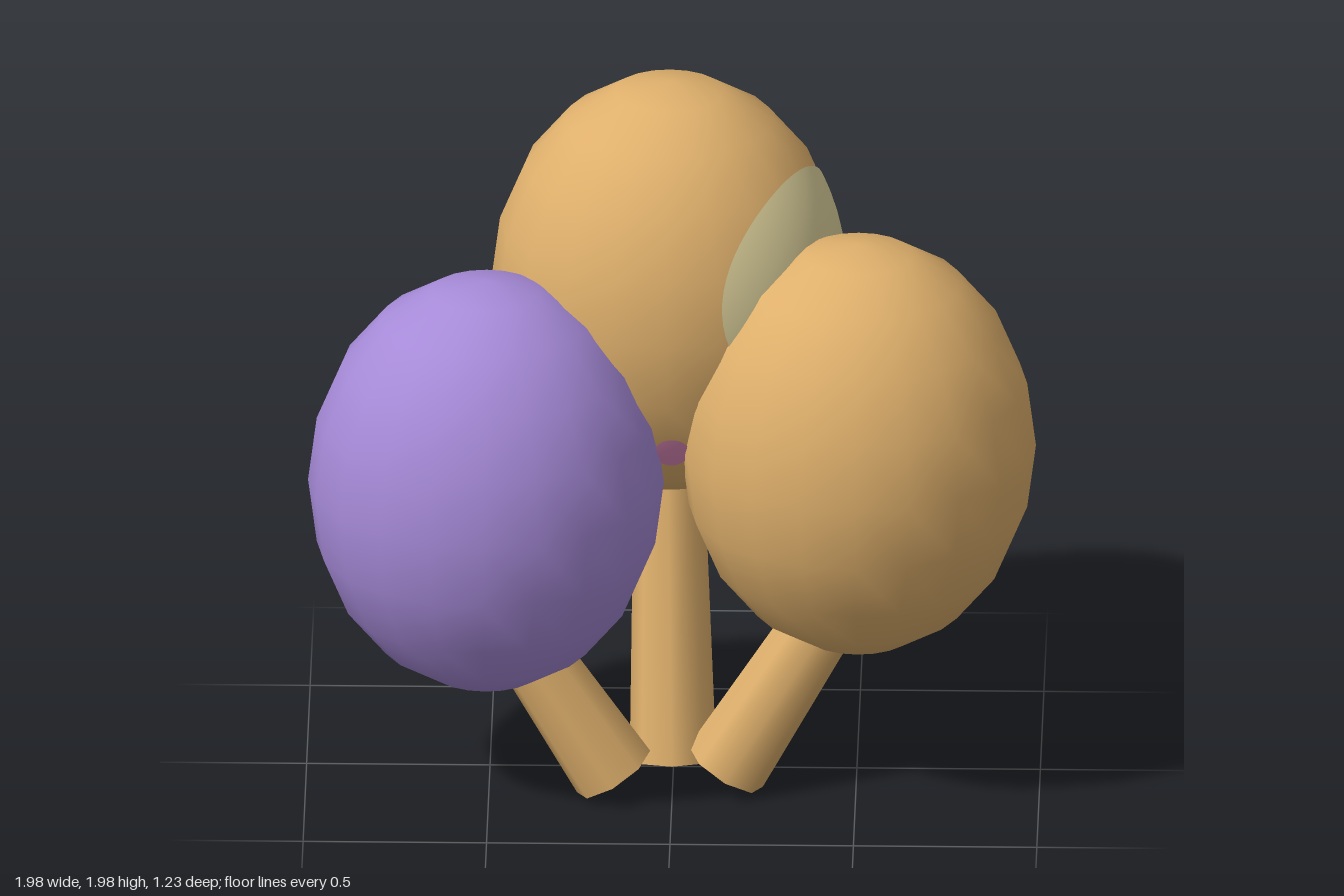
import * as THREE from 'three';

const mat = (name, color, extra = {}) => {
  const m = new THREE.MeshStandardMaterial({ color, ...extra });
  m.name = name;
  return m;
};
const deg = THREE.MathUtils.degToRad;

export function createModel() {
  const group = new THREE.Group();
  const tan = mat('tan', 0xdfb06c);
  const purple = mat('purple', 0xa68ad8);
  const pink = mat('pink', 0xde88b8, { side: THREE.DoubleSide });
  const cream = mat('cream', 0xdcd09b, { side: THREE.DoubleSide });

  const add = (name, geometry, material) => {
    const mesh = new THREE.Mesh(geometry, material);
    mesh.name = name;
    group.add(mesh);
    return mesh;
  };

  // Balloons: stretched spheres, each with a thin collar band under it
  const R = new THREE.Vector3(0.485, 0.6, 0.445);
  const balloons = [
    { name: 'rightBalloon', at: [-0.508, 0.95, 0.165], material: purple },
    { name: 'leftBalloon', at: [0.505, 1.04, 0.1], material: tan },
    { name: 'rearBalloon', at: [-0.015, 1.4, -0.17], material: tan },
  ];
  for (const { name, at, material } of balloons) {
    const body = new THREE.SphereGeometry(1, 20, 10).scale(R.x, R.y, R.z);
    add(name, body, material).position.set(...at);
    const collar = new THREE.CylinderGeometry(0.128, 0.112, 0.006, 10, 1, true);
    add(name + 'Collar', collar, pink).position.set(at[0], at[1] - R.y + 0.022, at[2]);
  }

  // Tapered sticks from a low end to a point inside each balloon
  const stick = (name, from, to) => {
    const a = new THREE.Vector3(...from), b = new THREE.Vector3(...to);
    const dir = b.clone().sub(a);
    const mesh = add(name, new THREE.CylinderGeometry(0.095, 0.118, dir.length(), 8), tan);
    mesh.position.copy(a).add(b).multiplyScalar(0.5);
    mesh.quaternion.setFromUnitVectors(new THREE.Vector3(0, 1, 0), dir.normalize());
  };
  stick('rightStick', [-0.16, 0.08, 0.17], [-0.42, 0.49, 0.16]);
  stick('leftStick', [0.145, 0.08, 0.13], [0.45, 0.59, 0.12]);
  stick('rearStick', [0, 0.075, 0.065], [-0.015, 0.9, -0.115]);

  // Wraps a flat geometry on the rear balloon; rule gives [longitude, latitude] in degrees
  const wrap = (name, geometry, material, lift, rule) => {
    const p = geometry.attributes.position, n = geometry.attributes.normal;
    const v = new THREE.Vector3();
    for (let i = 0; i < p.count; i++) {
      const [lon, lat] = rule(p.getX(i), p.getY(i)).map(deg);
      v.set(Math.sin(lon) * Math.cos(lat), Math.sin(lat), Math.cos(lon) * Math.cos(lat));
      p.setXYZ(i, v.x * R.x * lift, v.y * R.y * lift, v.z * R.z * lift);
      v.divide(R).normalize();
      n.setXYZ(i, v.x, v.y, v.z);
    }
    add(name, geometry, material).position.set(...balloons[2].at);
  };
  const disc = () => new THREE.RingGeometry(0, 1, 60, 8);
  const patch = (name, material, lift, [lon, lat], [w, h], wave = 0) =>
    wrap(name, disc(), material, lift, (x, y) => {
      const f = 1 + wave * Math.cos(5 * (Math.atan2(y, x) - Math.PI / 2));
      return [lon + x * w * f, lat + y * h * f];
    });

  // Painted spots
  patch('creamSpot', cream, 1.001, [65.5, 9], [47, 31]);
  patch('pinkSpot', pink, 1.004, [140, 0], [39, 28]);
  patch('creamStar', cream, 1.001, [161, 44.5], [8.5, 6], 0.2);
  patch('pinkFrontDot', pink, 1.001, [2, -36], [7, 6]);

  // Knot and curling string below the pink spot
  patch('pinkKnot', pink, 1.003, [145, -32], [9, 5.5], 0.3);
  wrap('pinkString', new THREE.PlaneGeometry(1, 1, 1, 12), pink, 1.002, (x, y) => {
    const t = 0.5 - y;
    return [146 - 19 * t + 3 * Math.sin(t * 6) + x * 5, -32 - 18 * t];
  });

  return group;
}
